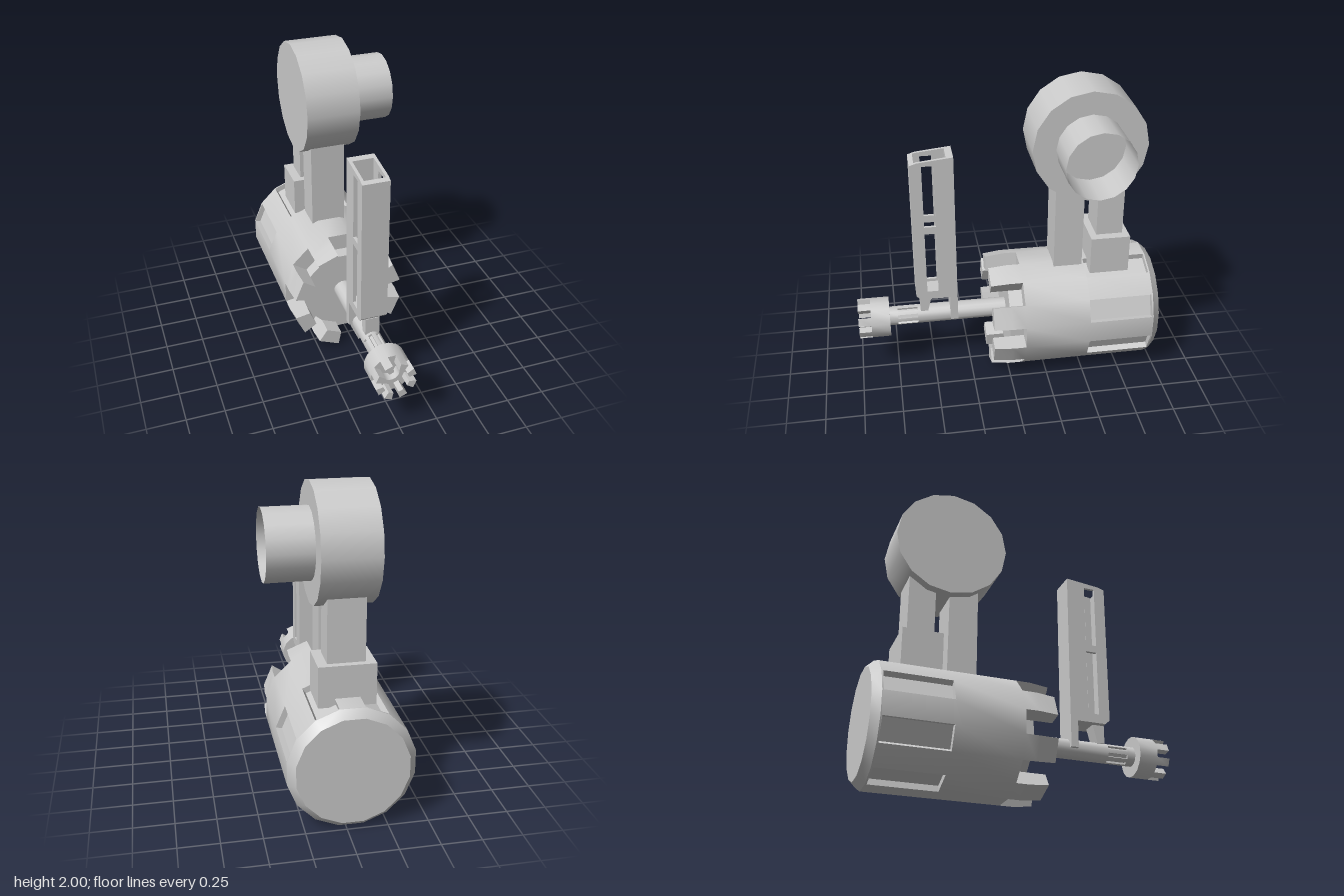
import * as THREE from 'three';
import { toCreasedNormals } from 'three/addons/utils/BufferGeometryUtils.js';

const SIDES = 16, AXIS_X = -0.035, AXIS_Y = 0.385;
const grey = () => new THREE.MeshStandardMaterial({ color: 0xcccccc });

function add(group, name, geometry, x = 0, y = 0, z = 0) {
  const mesh = new THREE.Mesh(geometry, grey());
  mesh.name = name;
  mesh.position.set(x, y, z);
  group.add(mesh);
  return mesh;
}

// Box from its limits on each axis
function box(group, name, [x0, x1], [y0, y1], [z0, z1]) {
  return add(group, name, new THREE.BoxGeometry(x1 - x0, y1 - y0, z1 - z0),
    (x0 + x1) / 2, (y0 + y1) / 2, (z0 + z1) / 2);
}

// Turned part along z whose facets alternate between two [radius, z] profiles.
// walls: [r, z] polygons closing the odd facets' sides; out = 1 for teeth, -1 for pockets
function facetedTurning(evenPath, oddPath, walls) {
  const pos = [];
  const point = (a, [r, z]) => new THREE.Vector3(r * Math.cos(a), r * Math.sin(a), z);
  const tri = (a, b, c) => {
    if (a.equals(b) || b.equals(c) || c.equals(a)) return;
    pos.push(...a.toArray(), ...b.toArray(), ...c.toArray());
  };
  const step = (2 * Math.PI) / SIDES;
  const edge = (i) => ((i + SIDES) % SIDES - 0.5) * step;
  for (let i = 0; i < SIDES; i++) {
    const a0 = edge(i), a1 = edge(i + 1);
    const path = i % 2 ? oddPath : evenPath;
    for (let j = 0; j < path.length - 1; j++) {
      const a = point(a0, path[j]), b = point(a1, path[j]);
      const c = point(a1, path[j + 1]), d = point(a0, path[j + 1]);
      tri(a, b, c);
      tri(a, c, d);
    }
    if (i % 2 === 0) continue;
    for (const { out, poly } of walls) {
      for (const [angle, sign] of [[a0, out], [a1, -out]]) {
        const p = poly.map((q) => point(angle, q));
        for (let j = 1; j < p.length - 1; j++) {
          if (sign > 0) tri(p[0], p[j], p[j + 1]);
          else tri(p[0], p[j + 1], p[j]);
        }
      }
    }
  }
  const g = new THREE.BufferGeometry();
  g.setAttribute('position', new THREE.Float32BufferAttribute(pos, 3));
  return toCreasedNormals(g, Math.PI / 6);
}

// Side outline given as [z, y], extruded across x and centred on the main axis
function sideExtrude(outline, width, holes = []) {
  const toPoints = (list) => list.map(([z, y]) => new THREE.Vector2(-z, y));
  const shape = new THREE.Shape(toPoints(outline));
  for (const h of holes) shape.holes.push(new THREE.Path(toPoints(h)));
  const g = new THREE.ExtrudeGeometry(shape, { depth: width, bevelEnabled: false });
  g.translate(0, 0, -width / 2);
  g.rotateY(Math.PI / 2);
  return g;
}

function createBarrel(group) {
  const back = [[0, -1], [0.345, -1], [0.392, -0.95], [0.392, -0.94]];
  const even = [...back, [0.392, -0.52], [0.392, -0.09], [0.28, -0.09], [0.28, 0], [0, 0]];
  const odd = [...back, [0.353, -0.94], [0.353, -0.52], [0.392, -0.52], [0.392, -0.09],
    [0.392, 0], [0.378, 0.12], [0.28, 0.12], [0.28, 0], [0, 0]];
  const tooth = [[0.28, -0.09], [0.392, -0.09], [0.392, 0], [0.378, 0.12], [0.28, 0.12]];
  const pocket = [[0.353, -0.94], [0.392, -0.94], [0.392, -0.52], [0.353, -0.52]];
  add(group, 'barrel', facetedTurning(even, odd,
    [{ out: 1, poly: tooth }, { out: -1, poly: pocket }]), AXIS_X, AXIS_Y, 0);
}

function createShaft(group) {
  const r = 0.064, low = 0.05;
  const even = [[r, -0.02], [r, 0.6], [r, 0.735], [r, 0.8]];
  const odd = [[r, -0.02], [r, 0.6], [low, 0.6], [low, 0.735], [r, 0.735], [r, 0.8]];
  const flute = [[low, 0.6], [r, 0.6], [r, 0.735], [low, 0.735]];
  add(group, 'flutedShaft', facetedTurning(even, odd, [{ out: -1, poly: flute }]), AXIS_X, AXIS_Y + 0.005, 0);

  // Toothed crown at the front end, with a shallow bore
  const R = 0.134, inner = 0.085, bore = [[0.055, 0.915], [0.055, 0.85], [0, 0.85]];
  const rear = [[0, 0.79], [R, 0.79], [R, 0.915]];
  add(group, 'crown', facetedTurning(
    [...rear, [inner, 0.915], ...bore],
    [...rear, [R, 1], [inner, 1], [inner, 0.915], ...bore],
    [{ out: 1, poly: [[inner, 0.915], [R, 0.915], [R, 1], [inner, 1]] }],
  ), AXIS_X, AXIS_Y + 0.005, 0);
}

function createUprightCase(group) {
  const part = new THREE.Group();
  part.name = 'uprightCase';
  part.position.x = AXIS_X;
  group.add(part);
  const half = 0.087, skin = 0.02;

  // Slotted side plates
  const outline = [[0.605, 0.59], [0.575, 0.56], [0.33, 0.56], [0.33, 1.59], [0.56, 1.565], [0.605, 1.55]];
  const slot = (y0, y1) => [[0.455, y0], [0.53, y0], [0.53, y1], [0.455, y1]];
  for (const s of [-1, 1]) {
    add(part, 'sidePlate', sideExtrude(outline, skin, [slot(0.62, 1.06), slot(1.11, 1.54)]),
      s * (half - skin / 2));
  }
  // Walls between the side plates
  const gap = 2 * (half - skin);
  add(part, 'frontWall', sideExtrude([[0.605, 0.59], [0.575, 0.56], [0.575, 1.56], [0.605, 1.55]], gap));
  add(part, 'rearWall', sideExtrude([[0.375, 0.56], [0.33, 0.56], [0.33, 1.59], [0.375, 1.585]], gap));
  add(part, 'floor', sideExtrude([[0.575, 0.56], [0.575, 0.6], [0.375, 0.6], [0.375, 0.56]], gap));
  // Supports resting on the shaft
  box(part, 'rearLeg', [-half, half], [0.38, 0.56], [0.33, 0.38]);
  add(part, 'frontFoot', sideExtrude([[0.58, 0.56], [0.58, 0.44], [0.53, 0.44], [0.5, 0.56]], 0.095));
}

function createDrum(group) {
  const y = 1.633, z = -0.516;
  // Struts and saddle carrying the drum
  box(group, 'frontStrut', [-0.15, 0.08], [0.7, 1.4], [-0.505, -0.315]);
  box(group, 'rearStrut', [-0.15, 0.08], [0.9, 1.42], [-0.77, -0.595]);
  box(group, 'strutSaddle', [-0.21, 0.14], [0.715, 0.975], [-0.81, -0.55]);

  const drum = new THREE.CylinderGeometry(0.367, 0.367, 0.352, 16);
  add(group, 'drum', drum.rotateZ(-Math.PI / 2), -0.039, y, z);
  const tube = new THREE.CylinderGeometry(0.22, 0.22, 0.28, 16, 1, true);
  add(group, 'sideTube', tube.rotateZ(-Math.PI / 2), 0.276, y, z).material.side = THREE.DoubleSide;
}

export function createModel() {
  const model = new THREE.Group();
  model.name = 'model';
  createBarrel(model);
  createShaft(model);
  createUprightCase(model);
  createDrum(model);
  return model;
}
